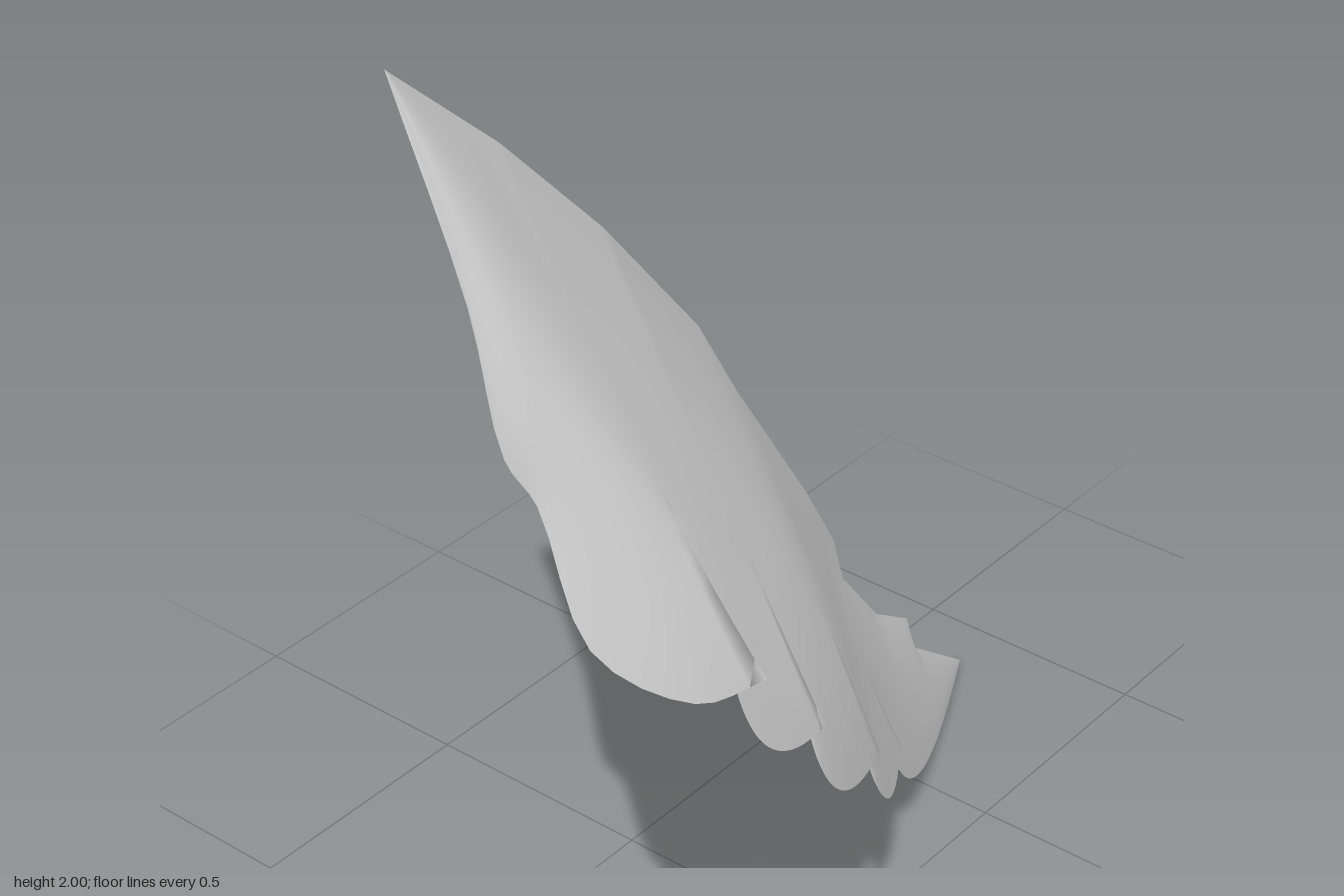
import * as THREE from 'three';
import { mergeVertices } from 'three/addons/utils/BufferGeometryUtils.js';

const V = (x, y, z) => new THREE.Vector3(x, y, z);
const arc = (a, b, c) => new THREE.QuadraticBezierCurve3(a, b, c);
const spline = (pts) => new THREE.CatmullRomCurve3(pts, false, 'centripetal');
const COLS = 20;   // steps across the wing, from back edge to scalloped edge
const K_AT = 0.6;  // where along a row the spine runs and the folds begin

const tip = V(-0.31, 2, 0.68);
const end = V(-0.345, 0, -0.886);

// rounded outer edge of each feather: the shoulder, then four scallops
const outerEdges = [
  spline([
    tip, V(-0.05, 1.74, 0.8), V(0.09, 1.575, 0.886), V(0.13, 1.5, 0.865),
    V(0.245, 1.305, 0.89), V(0.325, 1.162, 0.75), V(0.33, 1.114, 0.585),
  ]),
  arc(V(0.315, 1.114, 0.64), V(0.37, 0.95, 0.64), V(0.305, 0.907, 0.408)),
  arc(V(0.3, 0.9, 0.44), V(0.365, 0.73, 0.45), V(0.21, 0.642, 0.133)),
  arc(V(0.205, 0.64, 0.165), V(0.27, 0.48, 0.165), V(0.016, 0.37, -0.19)),
  arc(V(0.012, 0.37, -0.165), V(0, 0.08, -0.27), end),
];

// corners of the jagged back edge, feather by feather; each starts where the last stopped
const backCorners = [
  [V(-0.3, 1.79, 0.456)],
  [V(-0.285, 1.555, 0.244)],
  [V(-0.31, 1.236, -0.02)],
  [V(-0.22, 1.146, -0.01), V(-0.3, 0.743, -0.308), V(-0.33, 0.557, -0.43)],
  [V(-0.2, 0.6, -0.29), V(-0.24, 0.41, -0.45), V(-0.295, 0.276, -0.626), V(-0.25, 0.27, -0.557), end],
];

// raised spine through the top ends of the four folds
const spine = spline([
  tip, V(0, 1.67, 0.74),
  V(0.16, 1.406, 0.62), V(0.18, 1.21, 0.446), V(0.15, 1, 0.233), V(0.008, 0.65, -0.07),
  V(-0.13, 0.25, -0.43), end,
]);

// smooth line through the bottom ends of the folds, without the scallops
const rim = spline([
  tip, outerEdges[0].getPoint(0.5),
  ...outerEdges.slice(0, 4).map((e) => e.getPoint(1)),
  outerEdges[4].getPoint(0.5), end,
]);

// which spine and rim points each feather begins at
const starts = [0, 2, 3, 4, 5, 7];

// point on a straight-sided path, u = 0..1 by corner index
function onPolyline(pts, u) {
  const s = u * (pts.length - 1);
  const i = Math.min(Math.floor(s), pts.length - 2);
  return pts[i].clone().lerp(pts[i + 1], s - i);
}

// rows of one feather, each a curve from the back edge over the spine to the outer edge
function featherRows(outer, n) {
  const back = [n ? backCorners[n - 1].at(-1) : tip, ...backCorners[n]];
  const segs = back.length - 1;
  const steps = segs * Math.ceil(24 / segs);
  return Array.from({ length: steps + 1 }, (_, i) => {
    const u = i / steps;
    const along = THREE.MathUtils.lerp(starts[n], starts[n + 1], u) / 7;
    const B = onPolyline(back, u);
    const R = rim.getPoint(along);
    // control point that makes the curve pass through the spine
    const C = spine.getPoint(along)
      .addScaledVector(B, -((1 - K_AT) ** 2)).addScaledVector(R, -(K_AT ** 2))
      .divideScalar(2 * K_AT * (1 - K_AT));
    // beyond the spine the row swings out to the scallop, which opens the fold
    const swing = outer.getPoint(u).sub(R);
    return arc(B, C, R).getPoints(COLS).map((p, j) => {
      const w = Math.max(0, (j / COLS - K_AT) / (1 - K_AT));
      return p.addScaledVector(swing, w ** 1.3);
    });
  });
}

// joins the rows into one smooth sheet
function sheet(rows) {
  const index = [];
  const w = COLS + 1;
  for (let i = 0; i < rows.length - 1; i++) {
    for (let j = 0; j < COLS; j++) {
      const a = i * w + j;
      index.push(a, a + 1, a + w, a + 1, a + w + 1, a + w);
    }
  }
  const g = new THREE.BufferGeometry().setFromPoints(rows.flat());
  g.setIndex(index);
  const merged = mergeVertices(g, 1e-4);
  merged.computeVertexNormals();
  return merged;
}

export function createModel() {
  const group = new THREE.Group();
  group.name = 'featheredWing';
  // the last row of a feather and the first of the next form the tucked fold
  const wing = new THREE.Mesh(
    sheet(outerEdges.flatMap(featherRows)),
    new THREE.MeshStandardMaterial({ color: 0xcccccc, side: THREE.DoubleSide }),
  );
  wing.name = 'wingSheet';
  group.add(wing);
  return group;
}
